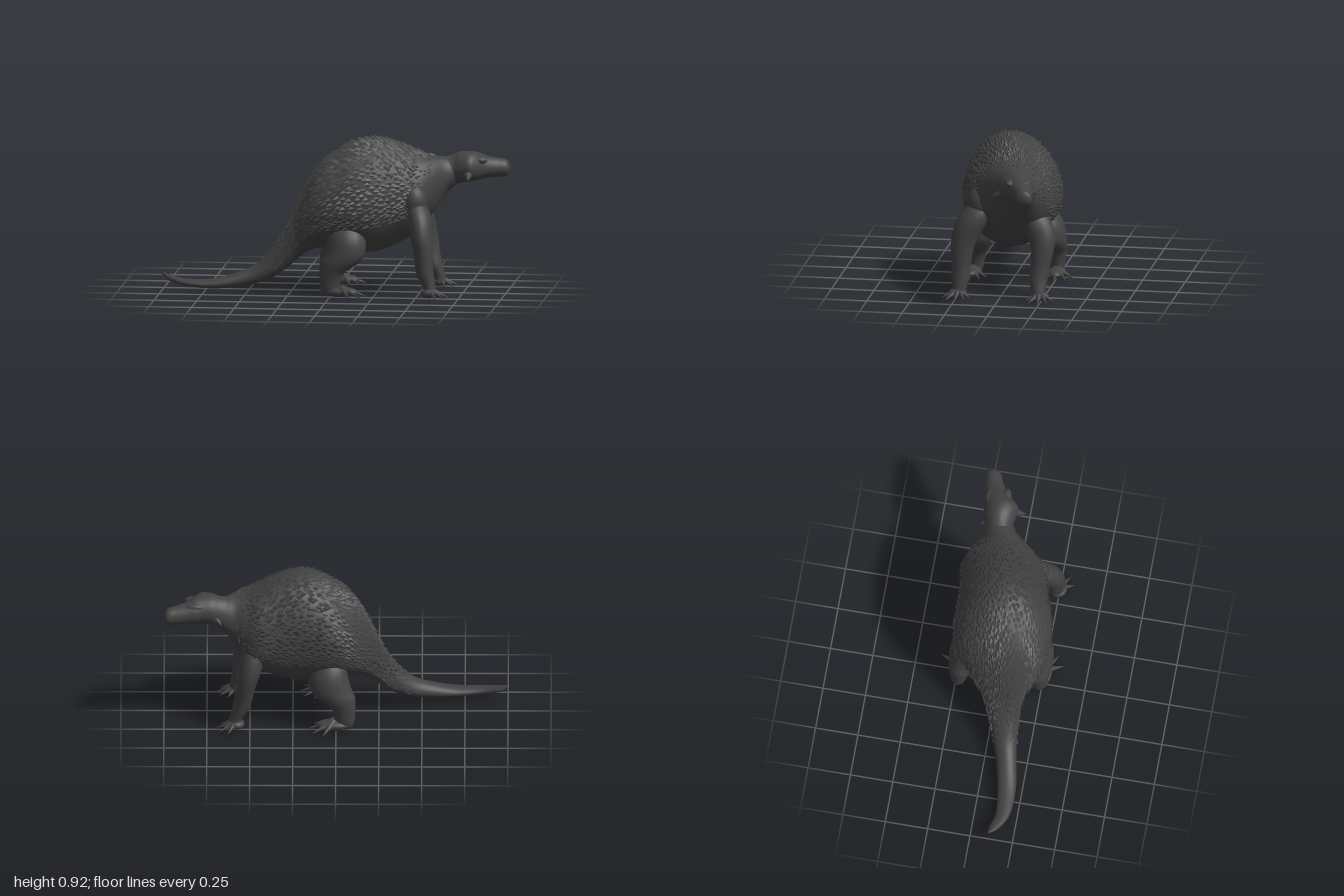
import * as THREE from 'three';

const hide = new THREE.MeshStandardMaterial({ color: 0x424242 });
hide.name = 'dark grey hide';
const plate = new THREE.MeshStandardMaterial({ color: 0x424242, side: THREE.DoubleSide });
plate.name = 'dark grey scales';

const V = (x, y, z) => new THREE.Vector3(x, y, z);
const { smoothstep } = THREE.MathUtils;

function part(name, geometry, material = hide) {
  const mesh = new THREE.Mesh(geometry, material);
  mesh.name = name;
  return mesh;
}

// Skin a list of closed rings and close both ends
function loft(rings) {
  const n = rings[0].length, pos = [], idx = [];
  rings.forEach(r => r.forEach(p => pos.push(p.x, p.y, p.z)));
  for (let i = 0; i < rings.length - 1; i++) {
    for (let j = 0; j < n; j++) {
      const a = i * n + j, b = i * n + (j + 1) % n;
      idx.push(a, a + n, b, b, a + n, b + n);
    }
  }
  [0, rings.length - 1].forEach((i, end) => {
    const c = V(0, 0, 0);
    rings[i].forEach(p => c.addScaledVector(p, 1 / n));
    const ci = pos.length / 3;
    pos.push(c.x, c.y, c.z);
    for (let j = 0; j < n; j++) {
      const a = i * n + j, b = i * n + (j + 1) % n;
      if (end) idx.push(ci, b, a); else idx.push(ci, a, b);
    }
  });
  const g = new THREE.BufferGeometry();
  g.setAttribute('position', new THREE.Float32BufferAttribute(pos, 3));
  g.setIndex(idx);
  g.computeVertexNormals();
  return g;
}

// Surface point from stations [x, top, bottom, centre z, half width]
function hull(stations, widest) {
  const a = new THREE.CatmullRomCurve3(stations.map(s => V(s[0], s[1], s[2])), false, 'catmullrom');
  const b = new THREE.CatmullRomCurve3(stations.map(s => V(s[3], s[4], 0)), false, 'catmullrom');
  return (t, ang) => {
    const p = a.getPoint(t), q = b.getPoint(t);
    const mid = p.z + (p.y - p.z) * widest, s = Math.sin(ang);
    return V(p.x, mid + s * (s > 0 ? p.y - mid : mid - p.z), q.x + Math.cos(ang) * q.y);
  };
}

const hullRings = (f, rows, cols) => Array.from({ length: rows + 1 }, (_, i) =>
  Array.from({ length: cols }, (_, j) => f(i / rows, j / cols * Math.PI * 2)));

const body = hull([
  [-1, .116, .1, .11, .008], [-.95, .102, .065, .135, .03], [-.85, .084, .042, .168, .042],
  [-.7, .086, .03, .163, .054], [-.55, .125, .036, .135, .06], [-.45, .17, .055, .11, .068],
  [-.35, .27, .09, .085, .083], [-.27, .395, .145, .065, .1], [-.2, .545, .205, .048, .135],
  [-.13, .68, .25, .028, .205], [-.05, .782, .26, .008, .26], [.05, .852, .25, 0, .28],
  [.15, .898, .238, -.003, .28], [.25, .907, .242, -.015, .27], [.35, .882, .28, -.035, .255],
  [.45, .84, .335, -.055, .245], [.52, .813, .4, -.06, .21], [.58, .798, .48, -.075, .155],
  [.64, .788, .57, -.11, .105], [.7, .78, .63, -.13, .08],
], .43);

const head = hull([
  [.62, .785, .575, -.11, .09], [.68, .8, .615, -.127, .085], [.72, .816, .632, -.13, .094],
  [.78, .818, .642, -.13, .102], [.82, .808, .648, -.15, .093], [.87, .785, .657, -.178, .072],
  [.93, .772, .66, -.2, .056], [.97, .765, .662, -.21, .05], [.99, .75, .675, -.213, .04],
  [1, .72, .7, -.214, .012],
], .48);

// Small pointed scales lying backwards, thinning out on the neck and tail
function scaleGeometry() {
  const pos = [], rows = 46, cols = 38;
  let seed = 7;
  const rnd = () => (seed = (seed * 16807) % 2147483647) / 2147483647;
  const tri = (...pts) => pts.forEach(p => pos.push(p.x, p.y, p.z));
  for (let i = 0; i < rows; i++) {
    for (let j = 0; j < cols; j++) {
      const t = .27 + .62 * (i + rnd()) / rows;
      const ang = -.42 + (Math.PI + .84) * (j + (i % 2) * .5 + (rnd() - .5) * .5) / cols;
      const p = body(t, ang);
      const grow = smoothstep(p.x, -.55, -.15) * (1 - smoothstep(p.x, .4, .64));
      if (rnd() > grow + .1) continue;
      const along = body(t + .004, ang).sub(p).normalize();
      const around = body(t, ang + .02).sub(p);
      const gap = around.length() / .02 * (Math.PI + .84) / cols;
      around.normalize();
      const out = along.clone().cross(around).normalize();
      const size = .3 + .7 * grow, lift = (.004 + .014 * rnd()) * size;
      const w = Math.min(gap * .6, .02) * size;
      const l = p.clone().addScaledVector(around, -w).addScaledVector(out, -.003);
      const r = p.clone().addScaledVector(around, w).addScaledVector(out, -.003);
      const ridge = p.clone().addScaledVector(along, .012).addScaledVector(out, .001);
      const tip = p.clone().addScaledVector(along, -.026 * size).addScaledVector(out, lift);
      tri(l, ridge, tip);
      tri(ridge, r, tip);
      tri(r, l, tip);
    }
  }
  const g = new THREE.BufferGeometry();
  g.setAttribute('position', new THREE.Float32BufferAttribute(pos, 3));
  g.computeVertexNormals();
  return g;
}

// Limb from stations [x, y, z, x radius, z radius], listed from the ground up;
// lean shifts it along x with height, bow pushes its upper half outwards
function limb(stations, side, dx, lean, bow) {
  const a = new THREE.CatmullRomCurve3(stations.map(s => V(s[0], s[1], s[2])), false, 'catmullrom');
  const b = new THREE.CatmullRomCurve3(stations.map(s => V(s[3], s[4], 0)), false, 'catmullrom');
  const rows = 32, cols = 20;
  return loft(Array.from({ length: rows + 1 }, (_, i) => {
    const c = a.getPoint(i / rows), r = b.getPoint(i / rows);
    const z = (c.z + bow * smoothstep(c.y, .1, .4)) * side;
    return Array.from({ length: cols }, (_, j) => {
      const t = j / cols * Math.PI * 2;
      return V(c.x + dx + lean * c.y + Math.cos(t) * r.x, c.y, z + Math.sin(t) * r.y);
    });
  }));
}

function spike(name, from, to, radius) {
  const d = to.clone().sub(from);
  const m = part(name, new THREE.ConeGeometry(radius, d.length(), 12));
  m.position.copy(from).addScaledVector(d, .5);
  m.quaternion.setFromUnitVectors(V(0, 1, 0), d.normalize());
  return m;
}

function blob(name, c, r) {
  const m = part(name, new THREE.SphereGeometry(1, 20, 14));
  m.position.copy(c);
  m.scale.copy(r);
  return m;
}

// Flat sole with five long, tapering, spread toes
function foot(name, c, side, sole, reach) {
  const g = new THREE.Group();
  g.name = name;
  g.add(blob('sole', c, sole));
  [-58, -28, 2, 32, 62].forEach((deg, i) => {
    const yaw = deg * Math.PI / 180, len = reach * [.8, .95, 1, 1, .9][i];
    const at = (k, y) => V(c.x + Math.cos(yaw) * len * k, y, c.z + side * Math.sin(yaw) * len * k);
    g.add(spike('toe', at(.05, .046), at(.85, .02), .03));
    g.add(spike('claw', at(.4, .036), at(1, .01), .015));
  });
  return g;
}

export function createModel() {
  const model = new THREE.Group();
  model.name = 'scaly animal';
  model.add(part('bodyAndTail', loft(hullRings(body, 110, 40))));
  model.add(part('backScales', scaleGeometry(), plate));
  model.add(part('head', loft(hullRings(head, 40, 28))));

  // Pointed cheeks and brow ridges
  model.add(spike('leftCheekHorn', V(.765, .7, -.075), V(.78, .665, .02), .042));
  model.add(spike('rightCheekHorn', V(.71, .695, -.18), V(.665, .668, -.245), .035));
  model.add(blob('leftBrow', V(.82, .768, -.108), V(.06, .025, .03)));
  model.add(blob('rightBrow', V(.82, .768, -.2), V(.06, .025, .03)));

  [[1, 'left', 0, 0, 0], [-1, 'right', -.05, -.11, .035]].forEach(([side, label, hindX, lean, bow]) => {
    const frontX = lean * -.1;
    model.add(blob(label + 'Shoulder', V(.475 + lean * .3, .55, side * .16 - .04), V(.08, .11, .085)));
    model.add(part(label + 'FrontLeg', limb([
      [.58, .02, .235, .042, .046], [.578, .07, .232, .038, .043], [.557, .13, .228, .05, .055],
      [.547, .2, .228, .053, .058], [.542, .28, .223, .056, .066], [.53, .36, .207, .064, .08],
      [.52, .44, .175, .068, .09], [.505, .5, .148, .064, .082], [.49, .56, .125, .04, .05],
    ], side, frontX, lean, bow)));
    model.add(foot(label + 'FrontFoot', V(.58, .036, .24 * side), side, V(.05, .03, .052), .118));
    model.add(part(label + 'HindLeg', limb([
      [.0, .012, .235, .042, .034], [-.002, .045, .235, .056, .045], [.002, .1, .232, .064, .053],
      [.014, .15, .228, .077, .064], [.05, .2, .222, .112, .08], [.08, .25, .213, .12, .09],
      [.092, .32, .198, .112, .096], [.09, .38, .175, .1, .092], [.09, .45, .14, .07, .07],
    ], side, hindX, 0, 0)));
    model.add(foot(label + 'HindFoot', V(.065 + hindX, .034, .245 * side), side, V(.1, .03, .052), .15));
  });
  return model;
}
